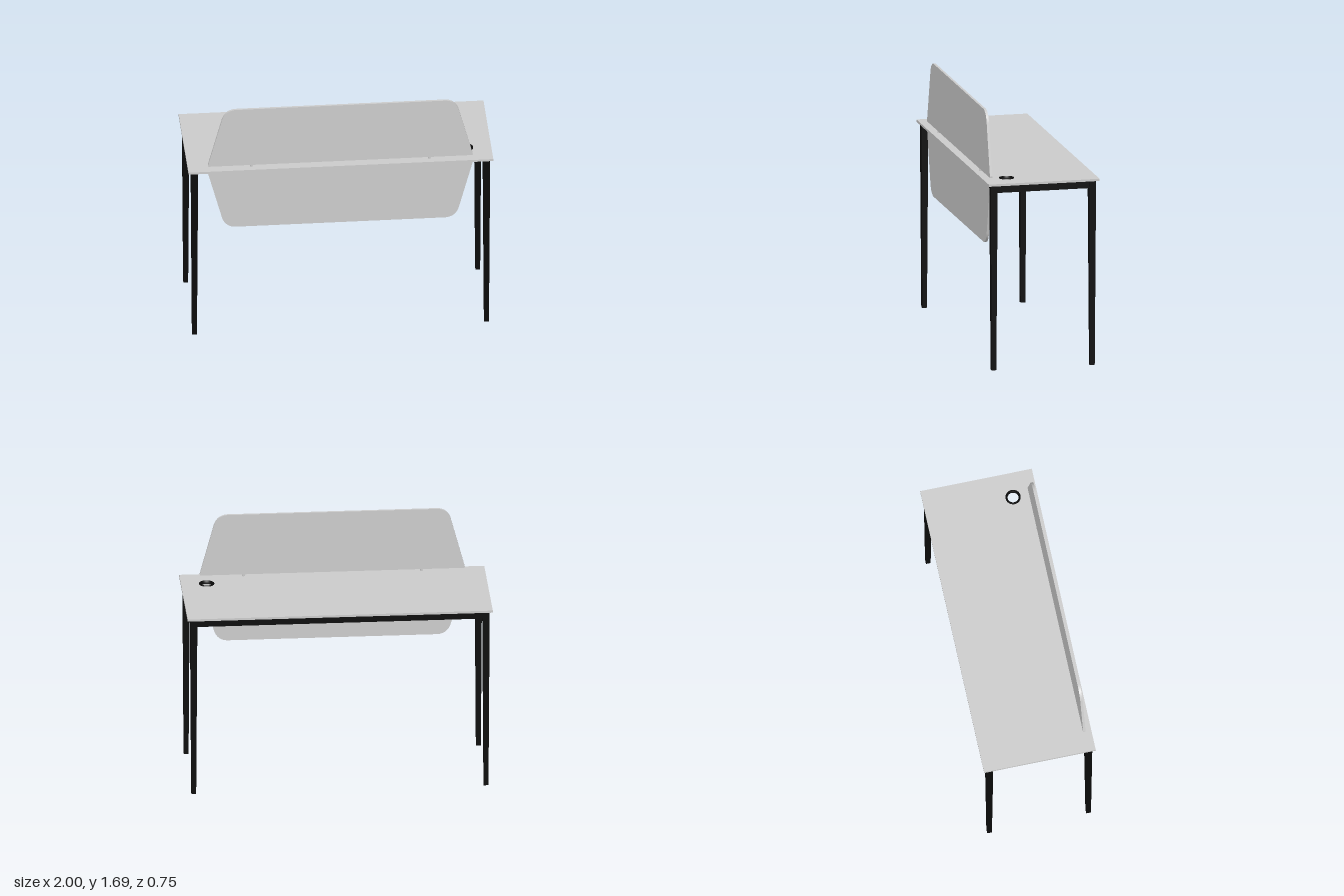
import * as THREE from 'three';

const grey = new THREE.MeshStandardMaterial({ color: 0xcccccc });
const black = new THREE.MeshStandardMaterial({ color: 0x0b0b0b });
const blackFlat = new THREE.MeshStandardMaterial({ color: 0x0b0b0b, flatShading: true });

const TOP = 1.252, UNDER = 1.237; // faces of the table top
const SCREEN_Z = 0.325;

export function createModel() {
  const model = new THREE.Group();
  const add = (name, geometry, material, x = 0, y = 0, z = 0) => {
    const mesh = new THREE.Mesh(geometry, material);
    mesh.name = name;
    mesh.position.set(x, y, z);
    model.add(mesh);
    return mesh;
  };

  // Table top with a cable hole
  const hole = { x: 0.832, z: 0.212 };
  const slab = new THREE.Shape();
  slab.moveTo(-1, -0.373).lineTo(1, -0.373).lineTo(1, 0.373).lineTo(-1, 0.373).closePath();
  slab.holes.push(new THREE.Path().absarc(hole.x, -hole.z, 0.043, 0, Math.PI * 2, true));
  const slabGeo = new THREE.ExtrudeGeometry(slab, { depth: TOP - UNDER, bevelEnabled: false, curveSegments: 32 });
  add('tableTop', slabGeo.rotateX(-Math.PI / 2), grey, 0, UNDER, 0);

  // Grommet lining the cable hole
  const ring = [[0.037, -0.002], [0.05, -0.002], [0.05, 0.018], [0.037, 0.018], [0.037, -0.002]];
  const ringGeo = new THREE.LatheGeometry(ring.map(([r, y]) => new THREE.Vector2(r, y)), 40);
  add('cableGrommet', ringGeo, black, hole.x, UNDER, hole.z);

  // Four tapered square legs
  const legGeo = new THREE.CylinderGeometry(0.046 / Math.SQRT2, 0.031 / Math.SQRT2, UNDER, 4).rotateY(Math.PI / 4);
  for (const sx of [-1, 1]) {
    for (const sz of [-1, 1]) {
      add((sz > 0 ? 'front' : 'back') + (sx > 0 ? 'Left' : 'Right') + 'Leg',
        legGeo, blackFlat, sx * 0.958, UNDER / 2, sz * 0.331);
    }
  }

  // Frame rails at both ends and along the back; the front stays open
  const railH = 0.049, railY = UNDER - railH / 2;
  for (const sx of [-1, 1]) {
    add(sx > 0 ? 'leftRail' : 'rightRail', new THREE.BoxGeometry(0.042, railH, 0.64), black, sx * 0.958, railY, 0);
  }
  add('backRail', new THREE.BoxGeometry(1.89, railH, 0.042), black, 0, railY, -0.331);

  // Screen panel: a wide trapezoid, far corners well rounded, base corners slightly
  const outline = new THREE.Shape();
  outline.moveTo(-0.86, 0).lineTo(0.86, 0)
    .quadraticCurveTo(0.871, 0, 0.868, 0.012)
    .lineTo(0.777, 0.35)
    .bezierCurveTo(0.764, 0.396, 0.73, 0.424, 0.685, 0.424)
    .lineTo(-0.685, 0.424)
    .bezierCurveTo(-0.73, 0.424, -0.764, 0.396, -0.777, 0.35)
    .lineTo(-0.868, 0.012)
    .quadraticCurveTo(-0.871, 0, -0.86, 0);
  const panelGeo = new THREE.ExtrudeGeometry(outline, { depth: 0.016, bevelEnabled: false, curveSegments: 16 })
    .translate(0, 0, -0.008);
  add('upperScreen', panelGeo, grey, 0, 1.266, SCREEN_Z);
  add('lowerScreen', panelGeo.clone().rotateX(Math.PI), grey, 0, 1.224, SCREEN_Z);

  // Small pins holding the screens off the table top
  for (const x of [-0.584, 0.584]) {
    add('upperPin', new THREE.CylinderGeometry(0.008, 0.008, 0.018, 16), grey, x, 1.26, SCREEN_Z);
    add('lowerPin', new THREE.CylinderGeometry(0.008, 0.008, 0.018, 16), grey, x, 1.23, SCREEN_Z);
  }

  return model;
}
